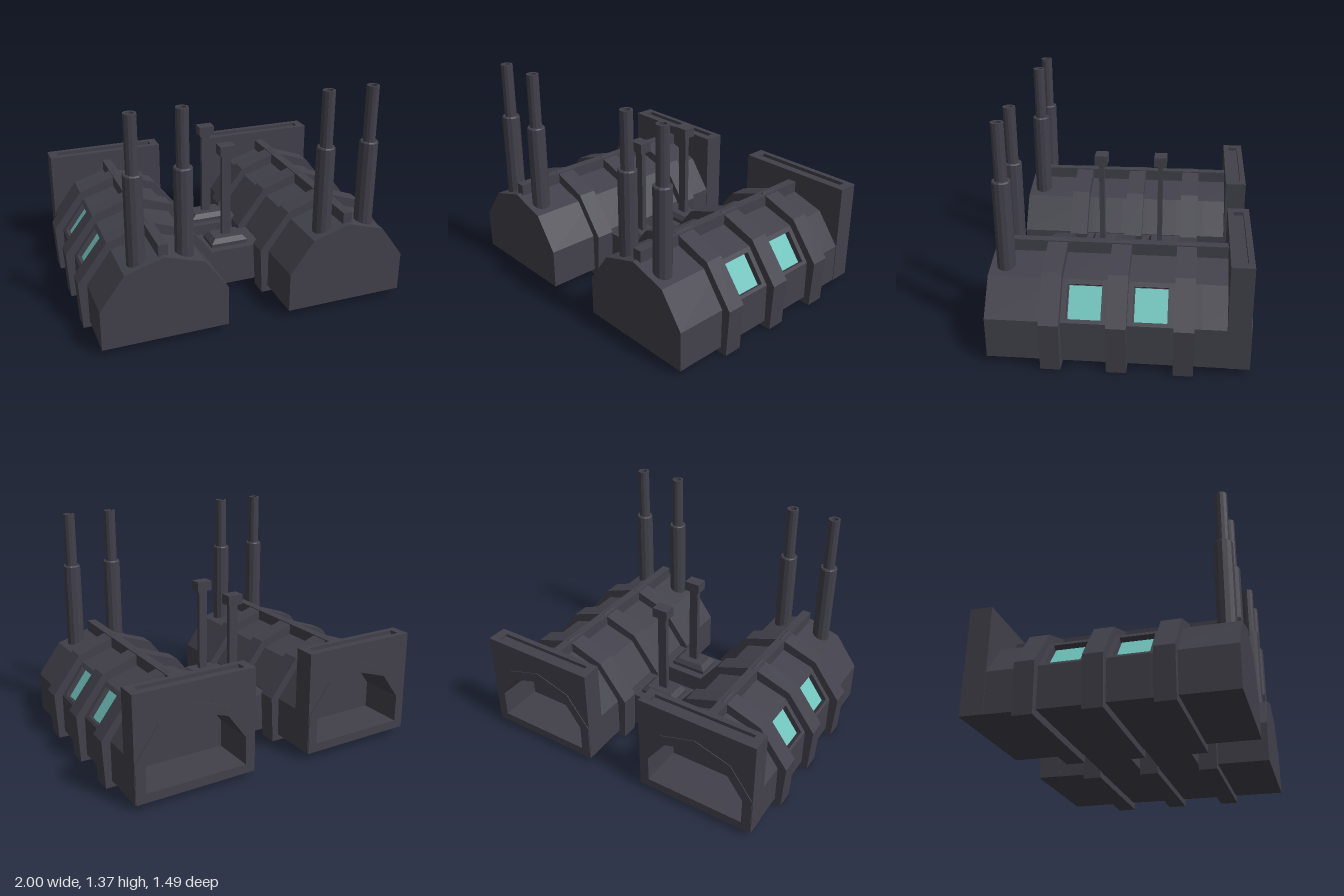
import * as THREE from 'three';

const dark = new THREE.MeshStandardMaterial({ color: 0x42414b, flatShading: true });
const teal = new THREE.MeshStandardMaterial({ color: 0x6fc3bc, flatShading: true });

function add(parent, name, geometry, x = 0, y = 0, z = 0, material = dark) {
  const mesh = new THREE.Mesh(geometry, material);
  mesh.name = name;
  mesh.position.set(x, y, z);
  parent.add(mesh);
  return mesh;
}

const toVectors = (points) => points.map(([x, y]) => new THREE.Vector2(x, y));

// Extrudes an x-y outline from z0 to z1, with an optional hole
function slice(points, z0, z1, hole) {
  const shape = new THREE.Shape(toVectors(points));
  if (hole) shape.holes.push(new THREE.Path(toVectors(hole)));
  return new THREE.ExtrudeGeometry(shape, { depth: z1 - z0, bevelEnabled: false }).translate(0, 0, z0);
}

// Symmetric outline from its right half, listed bottom to apex
const mirrored = (half) => [...half, ...half.slice(0, -1).reverse().map(([x, y]) => [-x, y])];

const rect = (hx, hy) => [[-hx, -hy], [hx, -hy], [hx, hy], [-hx, hy]];

const wall = [[0.376, 0.045], [0.376, 0.29], [0.23, 0.488], [0, 0.558]];
const hallOutline = mirrored(wall);
const opening = mirrored([[0.316, 0.1], [0.316, 0.27], [0.197, 0.432], [0, 0.496]]);
const ribOutline = mirrored([[0.415, 0.005], [0.43, 0.3], [0.25, 0.535], [0, 0.624]]);

// Window recess on the outer roof slope
const slope = new THREE.Vector2(-0.146, 0.198).normalize();
const normal = new THREE.Vector2(slope.y, -slope.x);
const recess = 0.035;
const winLow = new THREE.Vector2(0.376, 0.29).addScaledVector(slope, 0.02);
const winHigh = new THREE.Vector2(0.376, 0.29).addScaledVector(slope, 0.218);
const inLow = winLow.clone().addScaledVector(normal, -recess);
const inHigh = winHigh.clone().addScaledVector(normal, -recess);
const windows = [[-0.285, -0.088], [0.088, 0.285]];

function chimney() {
  return new THREE.LatheGeometry(toVectors([
    [0.055, 0.48], [0.055, 1.03], [0.05, 1.037], [0.037, 1.037], [0.037, 1.37],
    [0.023, 1.37], [0.023, 1.33], [0, 1.33],
  ]), 12);
}

function hall(side) {
  const g = new THREE.Group();
  g.name = side > 0 ? 'leftHall' : 'rightHall';
  g.position.x = side * 0.57;

  // Walls: plain slices, notched slices at the windows, hollow slice at the back
  const notch = [wall[0], wall[1], winLow.toArray(), inLow.toArray(), inHigh.toArray(),
    winHigh.toArray(), wall[2], wall[3], [-0.23, 0.488], [-0.376, 0.29], [-0.376, 0.045]]
    .map(([x, y]) => [x * side, y]);
  add(g, 'hallBack', slice(hallOutline, -0.745, -0.47, opening));
  for (const [a, b] of [[-0.47, -0.285], [-0.088, 0.088], [0.285, 0.745]])
    add(g, 'hallBody', slice(hallOutline, a, b));
  for (const [a, b] of windows) {
    add(g, 'windowBay', slice(notch, a, b));
    const mid = inLow.clone().add(inHigh).multiplyScalar(0.5);
    const pane = add(g, 'windowPane', new THREE.BoxGeometry(0.012, 0.19, b - a - 0.012),
      mid.x * side, mid.y, (a + b) / 2, teal);
    pane.rotation.z = side * Math.atan2(normal.y, normal.x);
  }

  // Ribs wrapping the hall
  for (const z of [-0.373, 0, 0.373]) add(g, 'rib', slice(ribOutline, z - 0.057, z + 0.057));

  // Ridge beam
  add(g, 'ridgeBeam', new THREE.BoxGeometry(0.056, 0.12, 1.325), 0, 0.56, 0.0525);

  // Back plate with a shallow groove along its top
  const plate = [[-0.379, 0.045], [0.379, 0.045], [0.379, 0.66], [-0.379, 0.66]];
  add(g, 'backPlate', slice(plate, -0.74, -0.61, opening));
  const rim = slice(rect(0.379, 0.065), 0, 0.022, rect(0.325, 0.03));
  add(g, 'backPlateRim', rim.rotateX(-Math.PI / 2), 0, 0.66, -0.675);

  // Stepped chimneys
  for (const x of [-0.14, 0.14]) add(g, 'chimney', chimney(), x, 0, 0.655);
  return g;
}

// Link block between the halls carrying a mast
function link(z) {
  const g = new THREE.Group();
  g.name = 'link';
  g.position.z = z;
  add(g, 'linkBlock', new THREE.BoxGeometry(0.4, 0.24, 0.25), 0, 0.165, 0);
  add(g, 'mastBase', new THREE.BoxGeometry(0.24, 0.025, 0.155), 0, 0.295, 0);
  const taper = new THREE.CylinderGeometry(Math.SQRT1_2 * 0.75, Math.SQRT1_2, 1, 4, 1).rotateY(Math.PI / 4);
  add(g, 'mastBaseTaper', taper.scale(0.24, 0.03, 0.155), 0, 0.322, 0);
  add(g, 'mast', new THREE.BoxGeometry(0.058, 0.56, 0.03), 0, 0.61, 0);
  add(g, 'mastHead', new THREE.BoxGeometry(0.1, 0.062, 0.078), 0, 0.909, 0);
  return g;
}

export function createModel() {
  const model = new THREE.Group();
  model.name = 'twinHallFactory';
  model.add(hall(1), hall(-1), link(0.187), link(-0.187));
  return model;
}
